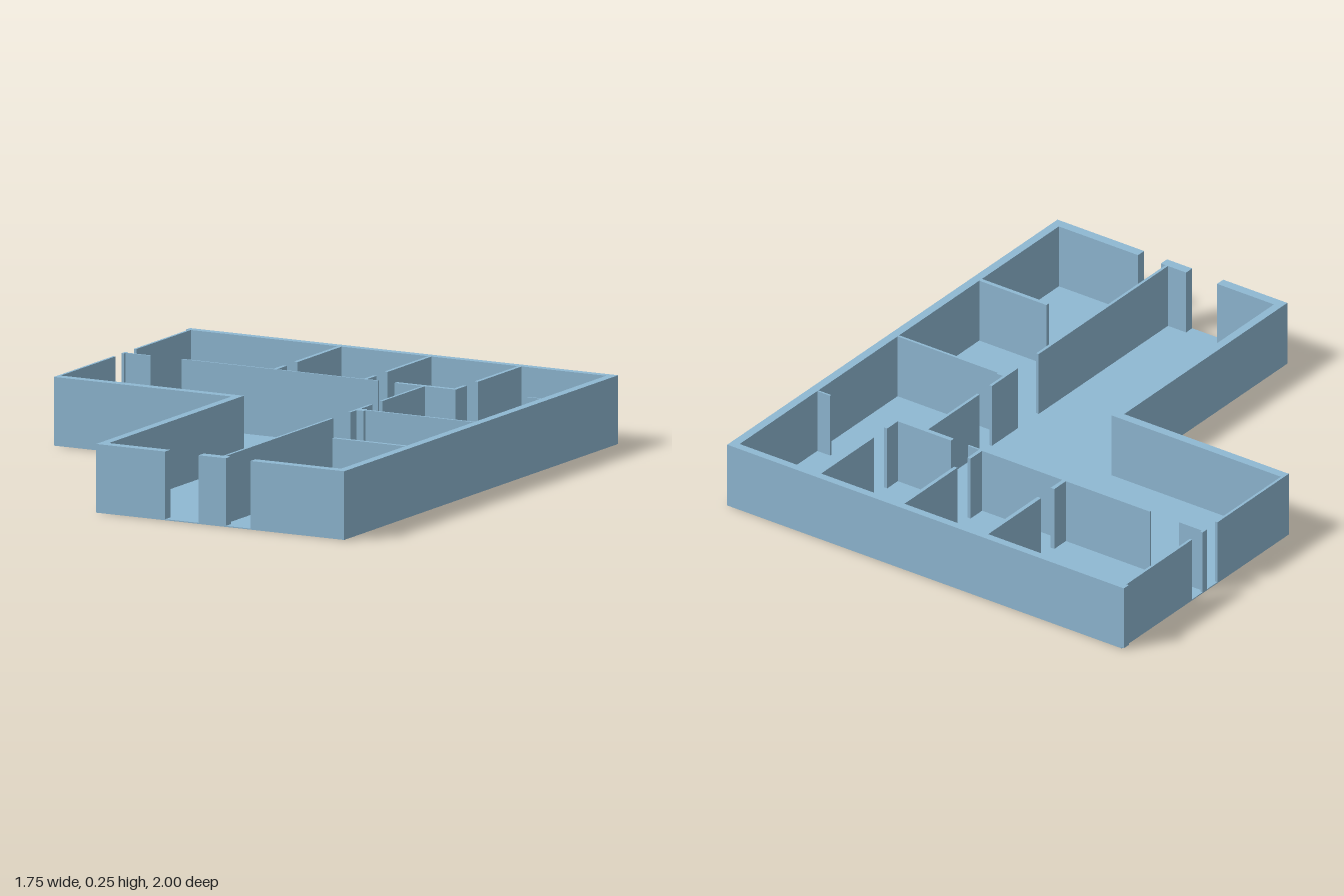
import * as THREE from 'three';

const HEIGHT = 0.25;
const SLAB = 0.004;

export function createModel() {
  const group = new THREE.Group();
  group.name = 'floorPlan';
  const material = new THREE.MeshStandardMaterial({ color: 0x8fb8d2 });

  // A full-height wall covering the plan rectangle x0..x1, z0..z1
  const wall = (name, x0, x1, z0, z1) => {
    const h = HEIGHT - SLAB;
    const mesh = new THREE.Mesh(new THREE.BoxGeometry(x1 - x0, h, z1 - z0), material);
    mesh.position.set((x0 + x1) / 2, SLAB + h / 2, (z0 + z1) / 2);
    mesh.name = name;
    group.add(mesh);
  };

  // L-shaped floor slab; the shape's y becomes -z
  const outline = [[-0.867, -1], [0.875, -1], [0.875, 1], [-0.14, 1], [-0.14, 0.012], [-0.867, 0.012]];
  const shape = new THREE.Shape(outline.map(([x, z]) => new THREE.Vector2(x, -z)));
  const slab = new THREE.ExtrudeGeometry(shape, { depth: SLAB, bevelEnabled: false });
  slab.rotateX(-Math.PI / 2);
  const floor = new THREE.Mesh(slab, material);
  floor.name = 'floor';
  group.add(floor);

  // Thick outer walls
  wall('backWall', -0.877, 0.875, -1, -0.97);
  wall('leftSideWall', 0.842, 0.875, -0.97, 0.963);
  wall('wingFrontWall', -0.867, -0.108, -0.022, 0.012);
  wall('innerCornerWall', -0.14, -0.108, 0.012, 0.963);

  // Front wall, broken by two doorways
  for (const [x0, x1] of [[-0.14, 0.143], [0.28, 0.391], [0.492, 0.875]])
    wall('frontWall', x0, x1, 0.963, 1);

  // Thin end wall of the wing, with two openings
  for (const [z0, z1] of [[-0.97, -0.573], [-0.51, -0.483], [-0.42, -0.022]])
    wall('wingEndWall', -0.867, -0.857, z0, z1);

  // Partitions between the back rooms, each with a doorway
  for (const [x0, x1] of [[-0.256, -0.24], [0.114, 0.128], [0.482, 0.497]]) {
    wall('roomPartition', x0, x1, -0.97, -0.65);
    wall('roomPartition', x0, x1, -0.57, -0.5);
  }

  // Long wall in front of the back rooms
  for (const [x0, x1] of [[-0.857, -0.755], [-0.627, 0.177], [0.785, 0.842]])
    wall('corridorWall', x0, x1, -0.5, -0.493);
  wall('corridorCornerWall', 0.247, 0.497, -0.506, -0.488);

  // Wall running front to back, with two doorways
  for (const [z0, z1] of [[-0.488, -0.178], [-0.104, 0.055], [0.18, 0.963]])
    wall('hallWall', 0.36, 0.371, z0, z1);
  wall('hallPillar', 0.371, 0.4, -0.022, 0.01);

  // Cross walls between the side rooms
  wall('sideRoomWall', 0.4, 0.842, -0.014, -0.004);
  wall('sideRoomScreen', 0.545, 0.842, 0.481, 0.497);

  return group;
}
